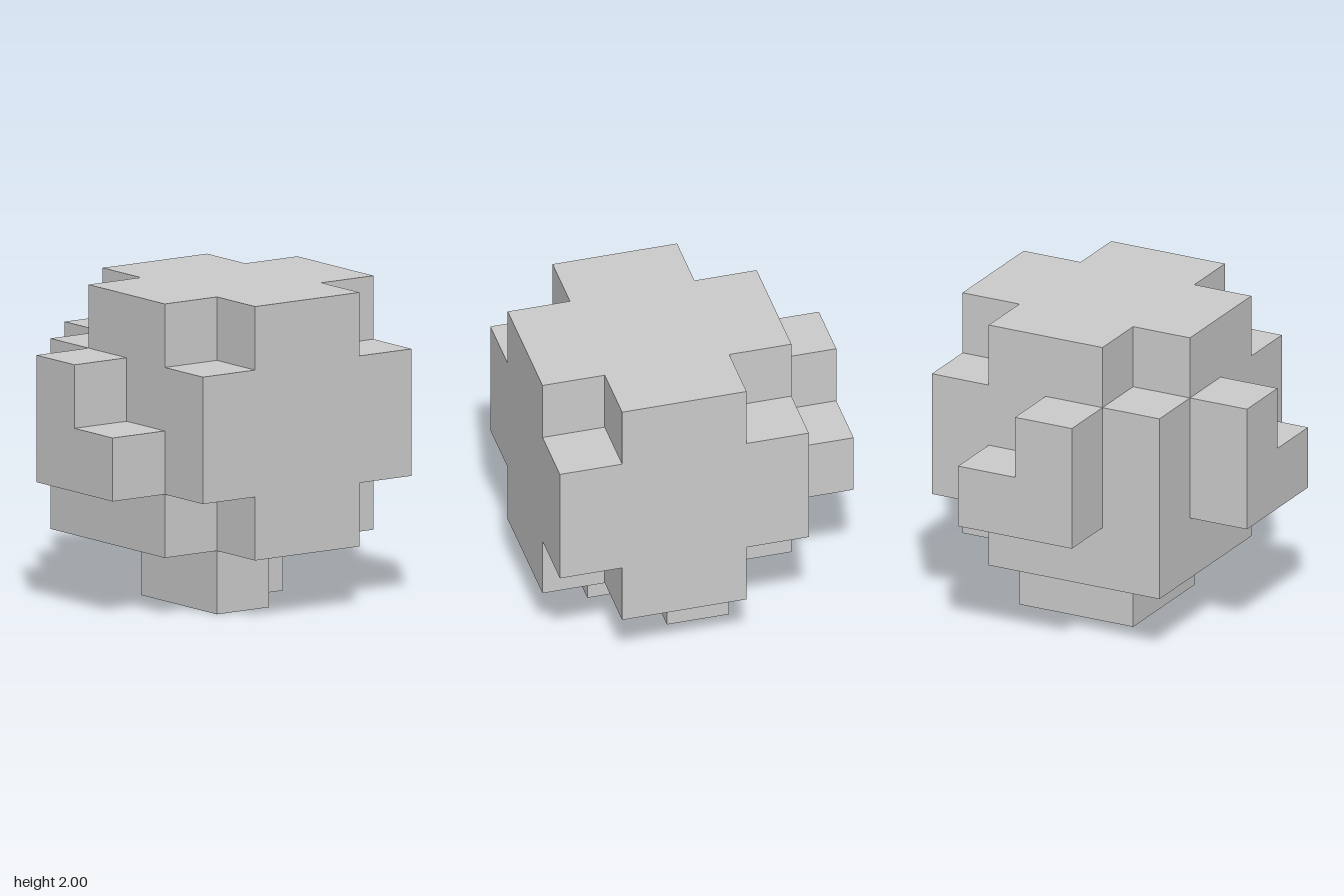
import * as THREE from 'three';
import { mergeGeometries } from 'three/addons/utils/BufferGeometryUtils.js';

const CELL = 0.4;
const key = (x, y, z) => `${x},${y},${z}`;

// Outward directions, each with the turn that aims a plane (facing +z) along it
const SIDES = [
  { dir: [1, 0, 0], turn: [0, Math.PI / 2] },
  { dir: [-1, 0, 0], turn: [0, -Math.PI / 2] },
  { dir: [0, 1, 0], turn: [-Math.PI / 2, 0] },
  { dir: [0, -1, 0], turn: [Math.PI / 2, 0] },
  { dir: [0, 0, 1], turn: [0, 0] },
  { dir: [0, 0, -1], turn: [0, Math.PI] },
];

// Core: 4 x 4 x 4 cells with every corner cut out except the lower front right one
function coreCells() {
  const cells = [];
  for (let x = 1; x <= 4; x++)
    for (let y = 1; y <= 4; y++)
      for (let z = 0; z <= 3; z++) {
        const corner = (x === 1 || x === 4) && (y === 1 || y === 4) && (z === 0 || z === 3);
        const kept = x === 1 && y === 1 && z === 3;
        if (!corner || kept) cells.push([x, y, z]);
      }
  return cells;
}

// Cells of each part on a 5 x 5 x 5 grid; three L-shaped blocks stand out of the core
const PARTS = {
  core: coreCells(),
  frontBlock: [[2, 2, 4], [3, 2, 4], [2, 3, 4]],
  sideBlock: [[0, 2, 1], [0, 2, 2], [0, 3, 2]],
  bottomBlock: [[2, 0, 1], [2, 0, 2], [3, 0, 2]],
};

// Outer faces only: a square wherever the neighbouring cell is empty
function skin(cells, filled) {
  const faces = [];
  for (const [x, y, z] of cells)
    for (const { dir, turn } of SIDES) {
      if (filled.has(key(x + dir[0], y + dir[1], z + dir[2]))) continue;
      const face = new THREE.PlaneGeometry(CELL, CELL);
      face.rotateX(turn[0]).rotateY(turn[1]);
      face.translate(
        (x - 2 + dir[0] / 2) * CELL,
        (y + 0.5 + dir[1] / 2) * CELL,
        (z - 2 + dir[2] / 2) * CELL
      );
      faces.push(face);
    }
  return mergeGeometries(faces);
}

export function createModel() {
  const model = new THREE.Group();
  model.name = 'notchedCube';
  const material = new THREE.MeshStandardMaterial({ color: 0xcccccc });
  const filled = new Set(Object.values(PARTS).flat().map((c) => key(...c)));
  for (const [name, cells] of Object.entries(PARTS)) {
    const mesh = new THREE.Mesh(skin(cells, filled), material);
    mesh.name = name;
    model.add(mesh);
  }
  return model;
}
